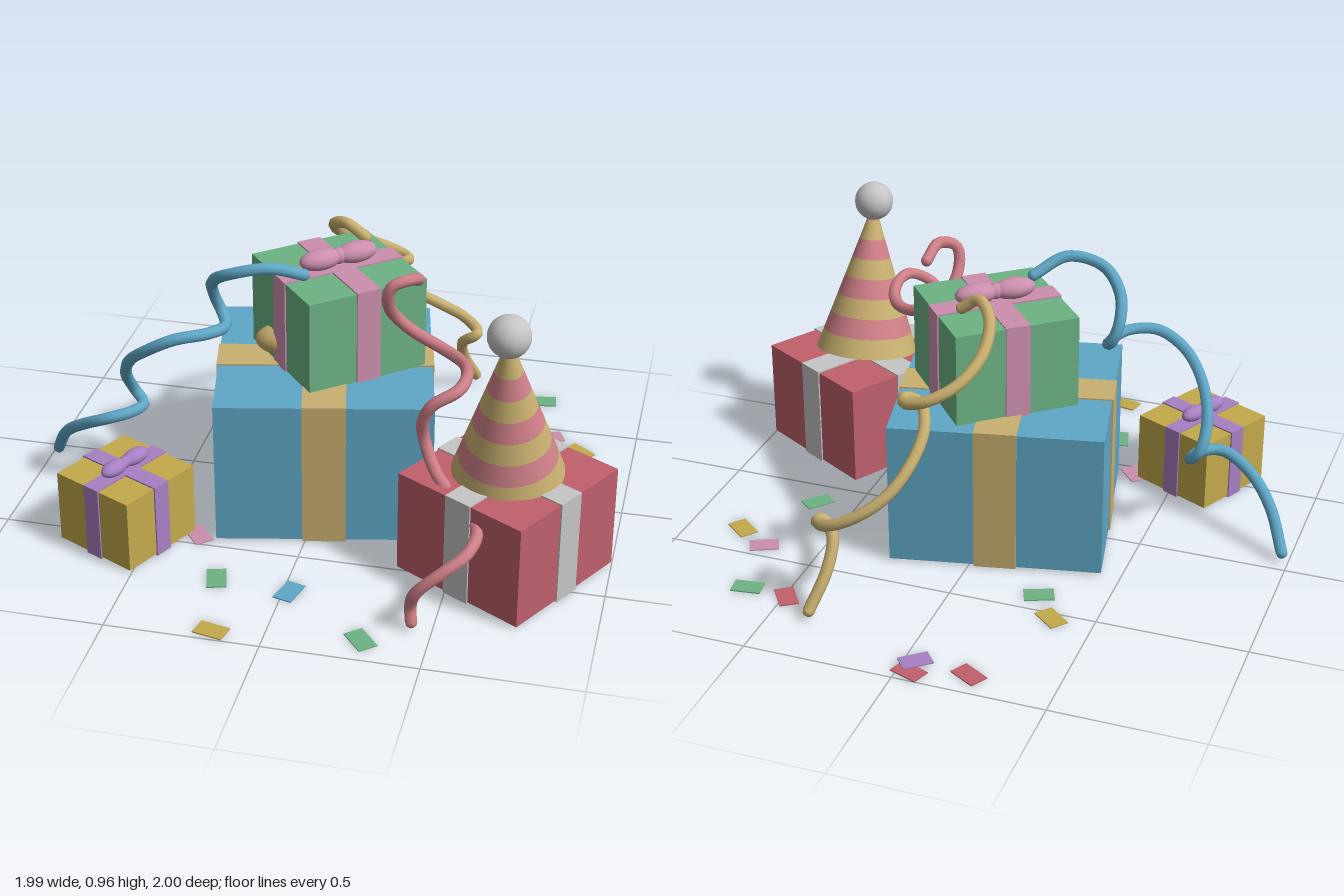
import * as THREE from 'three';

const flat = (name, color) => {
  const m = new THREE.MeshStandardMaterial({ color });
  m.name = name;
  return m;
};
const rad = THREE.MathUtils.degToRad;

export function createModel() {
  const root = new THREE.Group();
  root.name = 'partyPresents';
  const blue = flat('blue', 0x5fa8c8), green = flat('green', 0x6cb384), red = flat('red', 0xc0606c);
  const yellow = flat('yellow', 0xc4aa4c), gold = flat('gold', 0xc9b070), pink = flat('pink', 0xcc8fae);
  const rose = flat('rose', 0xd08088), purple = flat('purple', 0xa880c4), silver = flat('silver', 0xc6c6c6);

  const add = (parent, name, geometry, material, x = 0, y = 0, z = 0) => {
    const mesh = new THREE.Mesh(geometry, material);
    mesh.name = name;
    mesh.position.set(x, y, z);
    parent.add(mesh);
    return mesh;
  };

  // Square present with two crossing ribbons and an optional bow
  function present(name, side, height, x, y, z, angle, paper, ribbon, bow) {
    const g = new THREE.Group();
    g.name = name;
    g.position.set(x, y, z);
    g.rotation.y = rad(angle);
    root.add(g);
    const t = 0.005, w = side * 0.2;
    add(g, 'giftBox', new THREE.BoxGeometry(side, height, side), paper, 0, height / 2, 0);
    add(g, 'ribbonAcross', new THREE.BoxGeometry(side + 2 * t, height + 2 * t, w), ribbon, 0, height / 2, 0);
    add(g, 'ribbonAlong', new THREE.BoxGeometry(w, height + 2 * t, side + 2 * t), ribbon, 0, height / 2, 0);
    if (!bow) return;
    const lift = height + side * 0.09;
    for (const s of [-1, 1]) {
      const loop = add(g, 'bowLoop', new THREE.SphereGeometry(side, 24, 16), ribbon, s * side * 0.153, lift, 0);
      loop.scale.set(0.176, 0.083, 0.094);
    }
    add(g, 'bowKnot', new THREE.SphereGeometry(side * 0.065, 16, 12), ribbon, 0, lift, 0);
  }
  present('bluePresent', 0.71, 0.495, -0.013, 0.008, 0.043, 12, blue, gold, true);
  present('greenPresent', 0.425, 0.318, 0.022, 0.505, 0.008, 40, green, pink, true);
  present('redPresent', 0.492, 0.352, 0.662, 0.008, 0.4, -30, red, silver, false);
  present('yellowPresent', 0.312, 0.248, -0.577, 0.008, 0.5, 64, yellow, purple, true);

  // Striped cone hat with a pompom, tipped forward on the red present
  const hat = new THREE.Group();
  hat.name = 'partyHat';
  hat.position.set(0.66, 0.368, 0.402);
  hat.rotation.x = 0.2;
  root.add(hat);
  const bands = 8, hatHeight = 0.54, hatRadius = 0.18, bandHeight = hatHeight / bands;
  for (let i = 0; i < bands; i++) {
    const low = hatRadius * (1 - i / bands), high = hatRadius * (1 - (i + 1) / bands);
    add(hat, 'hatBand', new THREE.CylinderGeometry(high, low, bandHeight, 32, 1, true),
      i % 2 ? rose : gold, 0, (i + 0.5) * bandHeight, 0);
  }
  add(hat, 'hatBase', new THREE.CircleGeometry(hatRadius, 32), gold).rotation.x = Math.PI / 2;
  add(hat, 'pompom', new THREE.SphereGeometry(0.068, 24, 16), silver, 0, hatHeight, 0);

  // Curling streamers
  function streamer(name, material, points) {
    const path = points.map(p => new THREE.Vector3(...p));
    const curve = new THREE.CatmullRomCurve3(path);
    const g = new THREE.Group();
    g.name = name;
    root.add(g);
    add(g, 'curl', new THREE.TubeGeometry(curve, 120, 0.02, 8), material);
    for (const p of [path[0], path[path.length - 1]])
      add(g, 'streamerEnd', new THREE.SphereGeometry(0.02, 8, 6), material, p.x, p.y, p.z);
  }
  streamer('blueStreamer', blue, [
    [-0.055, 0.86, 0.17], [-0.15, 0.91, 0.25], [-0.27, 0.885, 0.265], [-0.35, 0.82, 0.2],
    [-0.365, 0.74, 0.14], [-0.345, 0.68, 0.13], [-0.32, 0.65, 0.17], [-0.35, 0.66, 0.26],
    [-0.45, 0.655, 0.32], [-0.55, 0.6, 0.315], [-0.63, 0.52, 0.25], [-0.672, 0.42, 0.17],
    [-0.665, 0.33, 0.11], [-0.63, 0.29, 0.125], [-0.65, 0.29, 0.19], [-0.72, 0.28, 0.235],
    [-0.82, 0.23, 0.21], [-0.91, 0.15, 0.14], [-0.975, 0.03, 0.06]]);
  streamer('roseStreamer', rose, [
    [0.315, 0.87, 0.14], [0.3, 0.905, 0.22], [0.25, 0.89, 0.25], [0.235, 0.83, 0.24],
    [0.25, 0.75, 0.18], [0.31, 0.69, 0.16], [0.4, 0.655, 0.18], [0.48, 0.65, 0.25],
    [0.515, 0.665, 0.37], [0.5, 0.66, 0.46], [0.43, 0.62, 0.49], [0.4, 0.56, 0.48],
    [0.4, 0.48, 0.46], [0.45, 0.38, 0.5], [0.53, 0.32, 0.56], [0.605, 0.29, 0.65],
    [0.59, 0.265, 0.76], [0.52, 0.22, 0.815], [0.45, 0.15, 0.825], [0.43, 0.08, 0.8], [0.435, 0.03, 0.81]]);
  streamer('goldStreamer', gold, [
    [0.08, 0.86, -0.15], [0.02, 0.9, -0.155], [-0.04, 0.87, -0.22], [-0.055, 0.8, -0.32],
    [-0.01, 0.73, -0.42], [0.08, 0.68, -0.475], [0.16, 0.655, -0.46], [0.17, 0.655, -0.42],
    [0.12, 0.64, -0.42], [0.085, 0.59, -0.48], [0.09, 0.52, -0.56], [0.14, 0.43, -0.65],
    [0.23, 0.36, -0.705], [0.33, 0.31, -0.71], [0.39, 0.285, -0.655], [0.385, 0.28, -0.625],
    [0.34, 0.24, -0.65], [0.335, 0.15, -0.71], [0.37, 0.03, -0.79]]);

  // Confetti scattered on the ground: colour, x, z, turn in degrees
  const confetti = [
    [red, -0.22, -0.91, -30], [red, -0.04, -0.955, -20], [purple, -0.04, -0.9, 40], [red, 0.49, -0.7, -55],
    [green, 0.635, -0.69, 8], [yellow, -0.36, -0.53, -40], [green, -0.28, -0.415, 22], [pink, 0.695, -0.435, 25],
    [yellow, 0.81, -0.36, -38], [green, 0.64, -0.11, 50], [green, -0.225, 0.68, -75], [blue, 0.02, 0.7, 75],
    [pink, -0.35, 0.45, -50], [yellow, -0.165, 0.955, -12], [green, 0.295, 0.9, -50]];
  const flake = new THREE.BoxGeometry(0.1, 0.004, 0.064);
  confetti.forEach(([material, x, z, turn], i) => {
    add(root, 'confetti', flake, material, x, 0.003 + (i === 2 ? 0.004 : 0), z).rotation.y = rad(turn);
  });

  return root;
}
